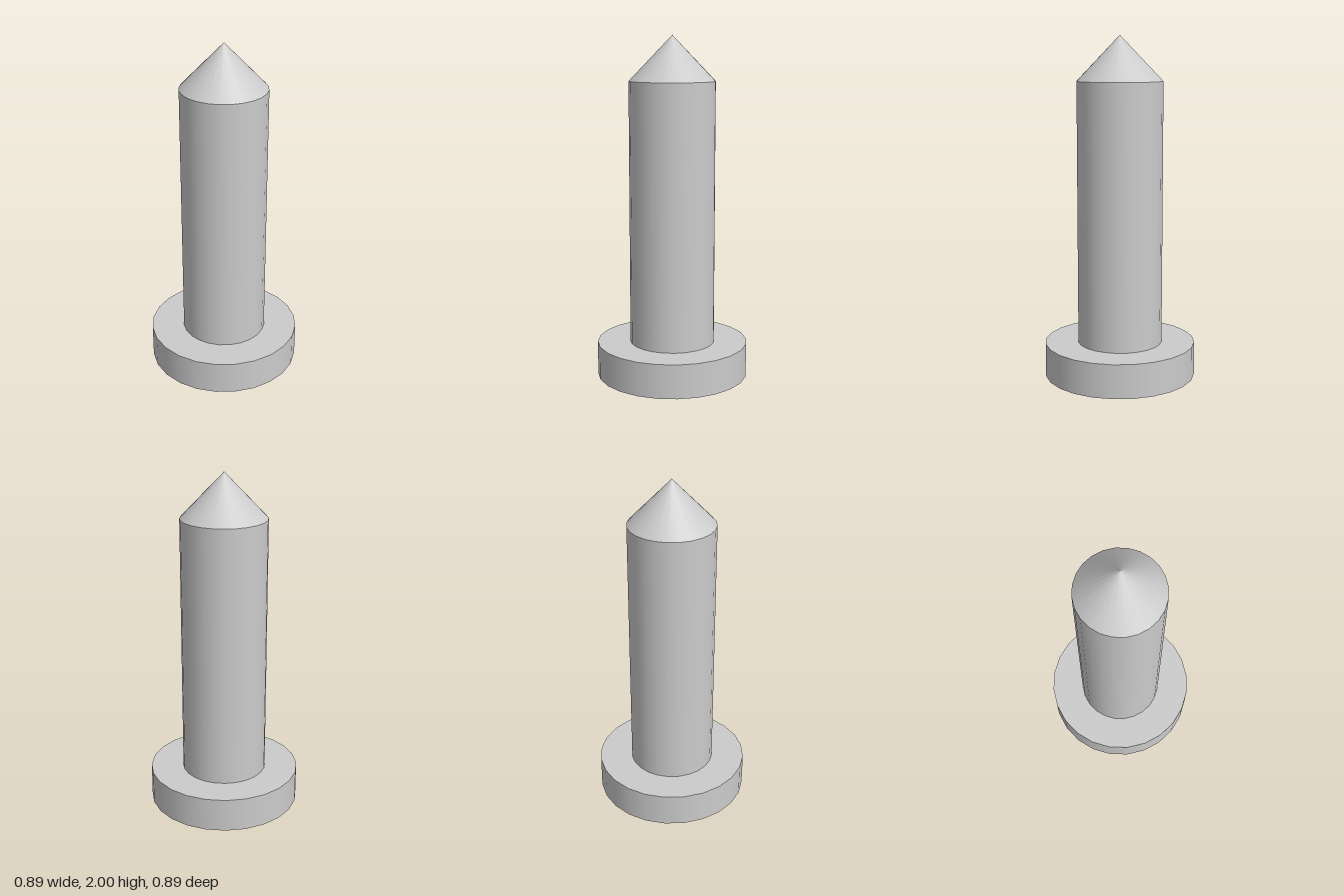
import * as THREE from 'three';

const SIDES = 24;
const SHAFT_R = 0.25, BASE_R = 0.445;
const BASE_TOP = 0.2, SHOULDER = 1.74, TIP = 2;

export function createModel() {
  const group = new THREE.Group();
  const material = new THREE.MeshStandardMaterial({ color: 0xcccccc, side: THREE.DoubleSide });

  const add = (name, geometry, y) => {
    const mesh = new THREE.Mesh(geometry, material);
    mesh.name = name;
    mesh.position.y = y;
    group.add(mesh);
  };

  // Open-ended wall between two heights
  const wall = (name, rTop, rBottom, y0, y1) =>
    add(name, new THREE.CylinderGeometry(rTop, rBottom, y1 - y0, SIDES, 1, true), (y0 + y1) / 2);

  // Flat ring around the shaft opening, facing up (1) or down (-1)
  const ring = (name, y, facing) =>
    add(name, new THREE.RingGeometry(SHAFT_R, BASE_R, SIDES).rotateX(-facing * Math.PI / 2), y);

  // Hollow flange at the foot
  ring('flangeUnderside', 0, -1);
  wall('flangeRim', BASE_R, BASE_R, 0, BASE_TOP);
  ring('flangeTop', BASE_TOP, 1);

  // Hollow shaft and pointed tip
  wall('shaft', SHAFT_R, SHAFT_R, BASE_TOP, SHOULDER);
  wall('tip', 0, SHAFT_R, SHOULDER, TIP);

  return group;
}
